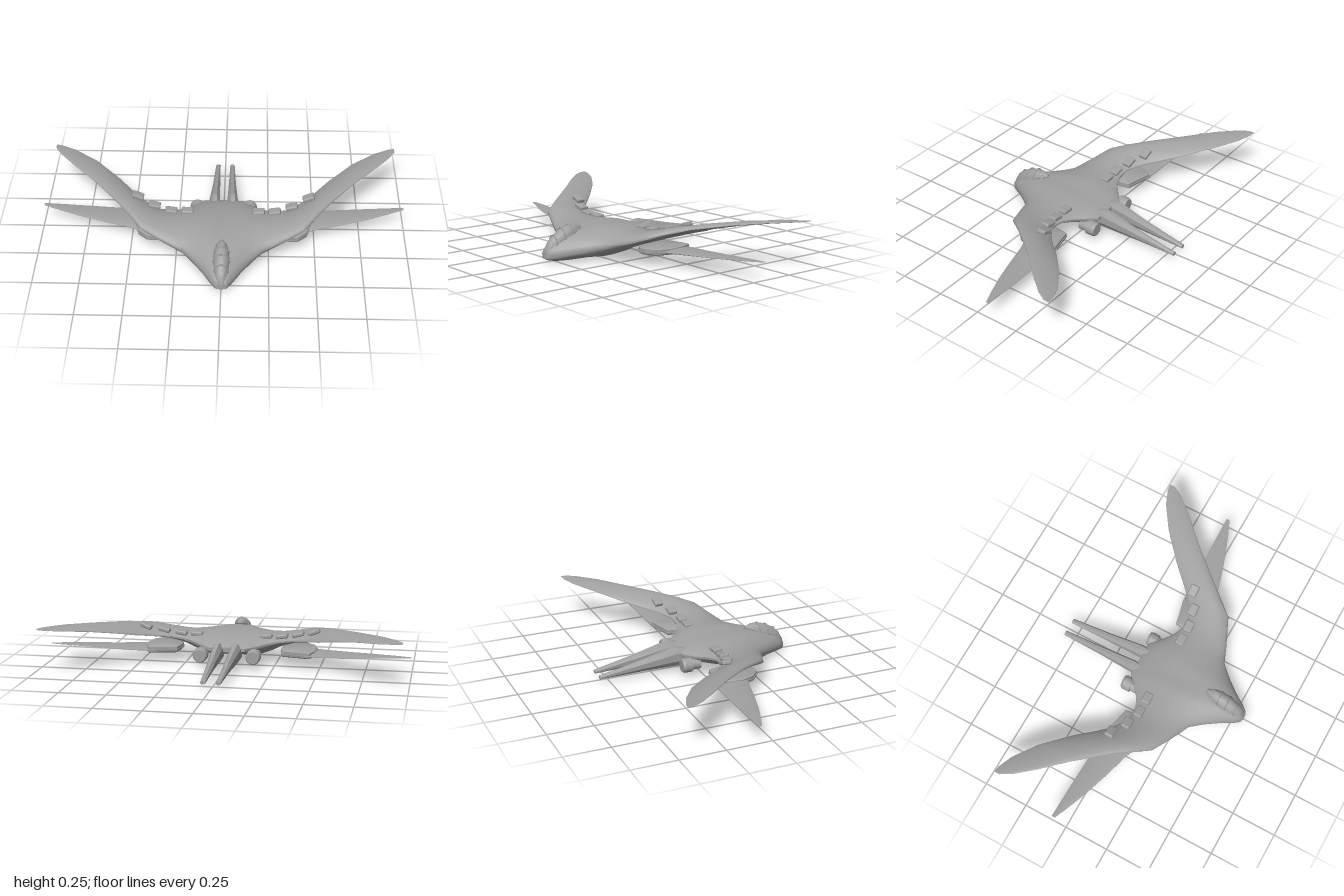
import * as THREE from 'three';
import { toCreasedNormals } from 'three/addons/utils/BufferGeometryUtils.js';
import { RoundedBoxGeometry } from 'three/addons/geometries/RoundedBoxGeometry.js';

const hullGrey = new THREE.MeshStandardMaterial({ color: 0xa0a0a0, side: THREE.DoubleSide });
hullGrey.name = 'hull grey';

// Skin a list of equal-length closed rings of [x, y, z], with capped ends, facing outward.
function loft(rings, crease = 0.6) {
  const n = rings[0].length, pos = rings.flat(2), idx = [];
  for (let i = 0; i < rings.length - 1; i++) {
    for (let j = 0; j < n; j++) {
      const a = i * n + j, b = i * n + (j + 1) % n;
      idx.push(a, b, a + n, b, b + n, a + n);
    }
  }
  [0, rings.length - 1].forEach((r, end) => {
    const centre = pos.length / 3;
    for (let k = 0; k < 3; k++) pos.push(rings[r].reduce((s, p) => s + p[k], 0) / n);
    for (let j = 0; j < n; j++) {
      const a = r * n + j, b = r * n + (j + 1) % n;
      idx.push(...(end ? [a, b, centre] : [b, a, centre]));
    }
  });
  // Reverse the faces when the enclosed volume comes out negative
  let volume = 0;
  const v = (i) => new THREE.Vector3().fromArray(pos, i * 3);
  for (let i = 0; i < idx.length; i += 3) volume += v(idx[i]).dot(v(idx[i + 1]).cross(v(idx[i + 2])));
  if (volume < 0) idx.reverse();
  const g = new THREE.BufferGeometry();
  g.setAttribute('position', new THREE.Float32BufferAttribute(pos, 3));
  g.setIndex(idx);
  return toCreasedNormals(g, crease);
}

// Blade section across the chord at one span position
function blade(x, zF, zB, yF, yB, top, bottom, edge, steps = 12) {
  const upper = [], lower = [];
  for (let i = 0; i <= steps; i++) {
    const t = (1 - Math.cos(Math.PI * i / steps)) / 2;
    const f = Math.max(0, Math.sin(Math.PI * Math.pow(t, 0.8))) ** 0.7;
    const z = zF + (zB - zF) * t, y = yF + (yB - yF) * t;
    upper.push([x, y + edge + (top - edge) * f, z]);
    lower.unshift([x, y - edge - (bottom - edge) * f, z]);
  }
  return [...upper, ...lower];
}

export function createModel() {
  const model = new THREE.Group();
  const add = (name, geometry, parent = model) => {
    const m = new THREE.Mesh(geometry, hullGrey);
    m.name = name;
    parent.add(m);
    return m;
  };

  // Blended body and swept upper wings: x, front z, back z, front y, back y, top, bottom, edge
  const half = [
    [0, .557, -.10, .035, .105, .10, .055, .014],
    [.03, .55, -.10, .035, .105, .10, .055, .013],
    [.055, .52, -.10, .04, .105, .10, .055, .011],
    [.10, .45, -.10, .053, .105, .092, .055, .009],
    [.15, .385, -.055, .068, .11, .077, .062, .007],
    [.21, .32, -.005, .085, .12, .06, .052, .006],
    [.27, .297, .022, .102, .13, .045, .036, .005],
    [.35, .262, .022, .125, .14, .04, .024, .004],
    [.44, .22, -.04, .155, .155, .04, .015, .003],
    [.50, .145, -.10, .18, .168, .034, .012, .003],
    [.58, .045, -.185, .205, .192, .025, .010, .002],
    [.72, -.117, -.312, .23, .225, .014, .008, .002],
    [.85, -.25, -.40, .245, .24, .008, .005, .001],
    [.93, -.345, -.432, .25, .248, .004, .003, .001],
    [.965, -.405, -.437, .252, .252, .0015, .0015, .001],
  ];
  const span = [...half.slice(1).reverse().map(([x, ...r]) => [-x, ...r]), ...half];
  add('bodyAndWings', loft(span.map((s) => blade(...s)), 0.7));

  // Cockpit canopy: z, half width, base y, top y
  const canopy = [
    [.553, .014, .045, .066], [.53, .029, .058, .108], [.50, .039, .075, .138],
    [.45, .045, .105, .168], [.40, .041, .13, .182], [.36, .03, .15, .184], [.323, .009, .162, .172],
  ];
  const arch = ([z, w, y0, y1], grow = 0) => Array.from({ length: 11 }, (_, i) => {
    const a = Math.PI * i / 10;
    return [Math.cos(a) * (w + grow), y0 + Math.sin(a) * (y1 - y0 + grow), z];
  });
  add('canopy', loft(canopy.map((c) => arch(c)), 0.8));
  const frame = new THREE.Group();
  frame.name = 'canopyFrame';
  model.add(frame);
  const tube = (name, pts, closed) => add(name, new THREE.TubeGeometry(
    new THREE.CatmullRomCurve3(pts.map((p) => new THREE.Vector3(...p)), closed), 36, .0035, 5, closed), frame);
  for (const i of [2, 3, 4]) tube('canopyHoop', arch(canopy[i], .001), false);
  const rim = canopy.map(([z, w, y0, y1]) => [w, y0 + (y1 - y0) * .15, z]);
  tube('canopyRim', [...rim, ...rim.map(([x, y, z]) => [-x, y, z]).reverse()], true);

  for (const side of [1, -1]) {
    const prefix = side > 0 ? 'left' : 'right';

    // Long tapering tail prong: z, centre x, half width, bottom y, top y
    const prong = [[-.035, .05, .024, .04, .115], [-.065, .05, .030, .036, .13],
      [-.12, .050, .029, .036, .143], [-.32, .045, .020, .034, .095], [-.557, .041, .013, .027, .046]];
    add(prefix + 'TailProng', loft(prong.map(([z, x, w, y0, y1]) =>
      Array.from({ length: 8 }, (_, i) => {
        const a = Math.PI * (i + .5) / 4, k = 1 / Math.cos(Math.PI / 8);
        return [side * (x + w * k * Math.cos(a)), (y0 + y1) / 2 + (y1 - y0) / 2 * k * Math.sin(a), z];
      })), 0.3));

    // Round engine with a narrower neck reaching into the body
    const engine = new THREE.Group();
    engine.name = prefix + 'Engine';
    engine.position.set(side * .146, .07, 0);
    model.add(engine);
    const drum = (name, r0, r1, z0, z1) => {
      const g = new THREE.CylinderGeometry(r0, r1, z0 - z1, 16).rotateX(Math.PI / 2);
      add(name, toCreasedNormals(g, 0.6), engine).position.z = (z0 + z1) / 2;
    };
    drum('engineNeck', .03, .03, -.02, -.072);
    drum('engineDrum', .04, .04, -.07, -.112);
    drum('engineNozzle', .04, .034, -.112, -.124);

    // Rounded pod under the wing, built from stacked outlines
    const outline = [[.29, -.03], [.37, -.047], [.45, -.065], [.475, 0], [.482, .08], [.46, .155],
      [.41, .202], [.36, .207], [.305, .17], [.277, .1], [.278, .03]];
    const layers = [[.06, .9], [.066, .98], [.078, 1], [.079, .97], [.092, .97], [.097, .9]];
    add(prefix + 'Pod', loft(layers.map(([y, s]) =>
      outline.map(([x, z]) => [side * (.38 + (x - .38) * s), y, .07 + (z - .07) * s])), 0.6));

    // Thin lower wing growing out of the pod
    const fin = [[.42, .14, -.062, .075, .075, .013, .012, .002],
      [.53, .098, -.068, .077, .076, .012, .011, .002],
      [.66, .062, -.073, .081, .081, .008, .007, .001],
      [.80, .018, -.077, .087, .087, .005, .005, .001],
      [.93, -.032, -.08, .093, .093, .003, .003, .001],
      [1, -.062, -.081, .096, .096, .001, .001, .0005]];
    add(prefix + 'LowerWing', loft(fin.map(([x, ...r]) => blade(side * x, ...r, 8)), 0.7));

    // Row of raised plates along the wing's rear edge: x, y, z, roll
    const plates = [[.195, .157, .055, .05], [.283, .159, .055, .15],
      [.375, .178, .032, .25], [.468, .205, -.016, .38]];
    for (const [x, y, z, roll] of plates) {
      const plate = add(prefix + 'WingPlate', new RoundedBoxGeometry(.066, .024, .05, 2, .008));
      plate.position.set(side * x, y, z);
      plate.rotation.z = side * roll;
    }
  }
  return model;
}
